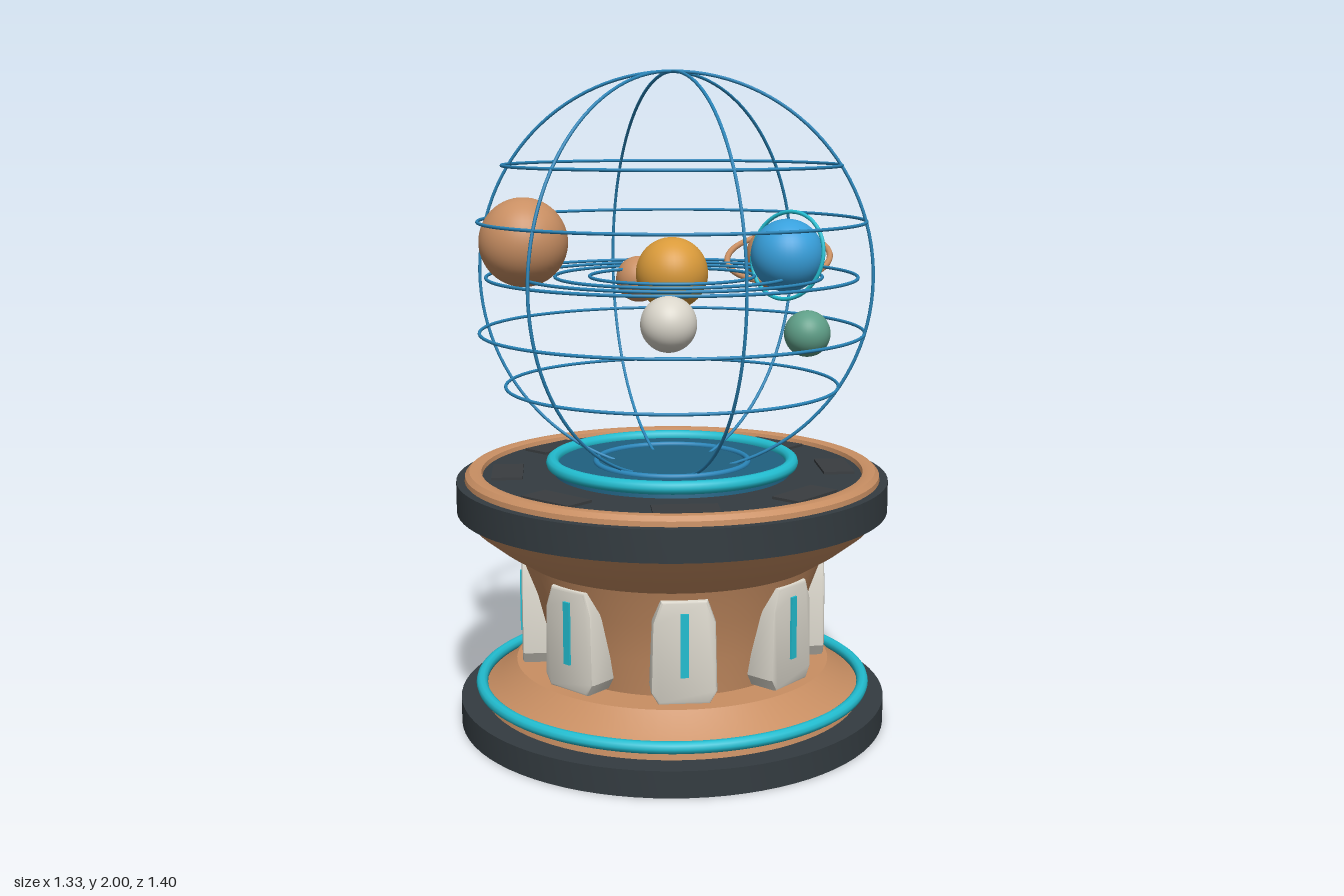
import * as THREE from 'three';
import { toCreasedNormals } from 'three/addons/utils/BufferGeometryUtils.js';

const mat = (name, color) => {
  const m = new THREE.MeshStandardMaterial({ color });
  m.name = name;
  return m;
};

export function createModel() {
  const copper = mat('copper', 0xc98f63);
  const charcoal = mat('charcoal', 0x343c41);
  const hatchGrey = mat('hatch grey', 0x393d40);
  const cyan = mat('cyan', 0x22bdd0);
  const wireBlue = mat('wire blue', 0x2a86ba);
  const deepBlue = mat('deep blue', 0x1f6080);
  const ivory = mat('ivory', 0xd9d5ca);
  const gold = mat('gold', 0xd99a3a);
  const skyBlue = mat('sky blue', 0x38a0dc);
  const green = mat('sea green', 0x5f9f88);

  const model = new THREE.Group();
  model.name = 'orrery';
  const body = new THREE.Group();
  body.name = 'pedestalAndCage';
  body.position.z = 0.034;
  model.add(body);

  const add = (parent, name, geometry, material, x = 0, y = 0, z = 0) => {
    const mesh = new THREE.Mesh(geometry, material);
    mesh.name = name;
    mesh.position.set(x, y, z);
    parent.add(mesh);
    return mesh;
  };
  // Turned part from [radius, height] pairs, listed bottom to top
  const turned = (name, profile, material) => {
    const points = profile.map(([r, y]) => new THREE.Vector2(r, y));
    const geometry = new THREE.LatheGeometry(points, 80);
    return add(body, name, toCreasedNormals(geometry, 0.5), material);
  };
  const flatRing = (name, radius, tube, y, material) => {
    const geometry = new THREE.TorusGeometry(radius, tube, 10, 96).rotateX(Math.PI / 2);
    return add(body, name, geometry, material, 0, y, 0);
  };

  // Pedestal
  turned('baseSlab', [[0, 0], [0.665, 0], [0.665, 0.08], [0, 0.08]], charcoal);
  turned('baseStep', [[0.59, 0.08], [0.585, 0.11], [0.54, 0.14], [0.49, 0.19], [0.3, 0.19]], copper);
  flatRing('baseGlowRing', 0.6, 0.018, 0.122, cyan);
  turned('column', [[0.38, 0.18], [0.4, 0.3], [0.43, 0.42], [0.47, 0.53],
    [0.54, 0.575], [0.61, 0.63], [0.655, 0.68]], copper);
  turned('tableRim', [[0.4, 0.675], [0.665, 0.675], [0.665, 0.77], [0, 0.77]], charcoal);
  turned('tableTrim', [[0.64, 0.765], [0.638, 0.785], [0.625, 0.798], [0.605, 0.8],
    [0.588, 0.795], [0.58, 0.765]], copper);
  turned('tableTop', [[0.585, 0.765], [0.585, 0.782], [0, 0.782]], charcoal);
  turned('projectorDisc', [[0.365, 0.78], [0.36, 0.812], [0, 0.812]], deepBlue);
  flatRing('projectorRing', 0.37, 0.02, 0.815, cyan);
  flatRing('projectorInnerRing', 0.235, 0.009, 0.815, wireBlue);

  // Eight column panels with light slits, and a hatch above each
  const outline = new THREE.Shape([
    [-0.07, 0.205], [0.07, 0.205], [0.088, 0.235], [0.083, 0.44], [0.062, 0.5],
    [-0.062, 0.5], [-0.083, 0.44], [-0.088, 0.235],
  ].map(([x, y]) => new THREE.Vector2(x, y)));
  const panelGeometry = toCreasedNormals(new THREE.ExtrudeGeometry(outline, {
    depth: 0.09, bevelEnabled: true, bevelThickness: 0.01, bevelSize: 0.008, bevelSegments: 2,
  }), 0.5);
  const slitGeometry = new THREE.BoxGeometry(0.024, 0.19, 0.009);
  const hatchGeometry = new THREE.BoxGeometry(0.19, 0.012, 0.095);
  for (let i = 0; i < 8; i++) {
    const bay = new THREE.Group();
    bay.name = 'bay' + (i + 1);
    bay.rotation.y = (i * Math.PI) / 4;
    body.add(bay);
    add(bay, 'panel', panelGeometry, ivory, 0, 0, 0.37);
    add(bay, 'lightSlit', slitGeometry, cyan, 0, 0.375, 0.472);
    add(bay, 'hatch', hatchGeometry, hatchGrey, 0, 0.784, 0.508);
  }

  // Wire globe: three meridians and four parallels
  const globeRadius = 0.608;
  const globeY = 1.388;
  const meridianGeometry = new THREE.TorusGeometry(globeRadius, 0.005, 8, 112);
  for (let i = 0; i < 3; i++) {
    const meridian = add(body, 'meridian' + (i + 1), meridianGeometry, wireBlue, 0, globeY, 0);
    meridian.rotation.y = Math.PI / 2 + (i * Math.PI) / 3;
  }
  for (const h of [-0.333, -0.167, 0.167, 0.333]) {
    flatRing('parallel', Math.sqrt(globeRadius ** 2 - h * h), 0.005, globeY + h, wireBlue);
  }
  // Flat orbit tracks
  for (const r of [0.25, 0.355, 0.455, 0.562]) flatRing('orbit', r, 0.005, globeY, wireBlue);

  // Sun and planets
  const planets = [
    ['sun', 0.11, gold, 0, 1.395, 0.034],
    ['smallCopperPlanet', 0.073, copper, -0.23, 1.355, -0.072],
    ['bluePlanet', 0.109, skyBlue, 0.303, 1.455, -0.142],
    ['greenPlanet', 0.068, green, 0.44, 1.24, -0.06],
    ['largeCopperPlanet', 0.132, copper, -0.26, 1.498, 0.405],
    ['whitePlanet', 0.077, ivory, 0.36, 1.313, 0.466],
    ['ringedCopperPlanet', 0.109, copper, -0.02, 1.405, -0.53],
  ];
  for (const [name, r, material, x, y, z] of planets) {
    add(model, name, new THREE.SphereGeometry(r, 40, 28), material, x, y, z);
  }

  // Tilted planet rings, aimed along their axis
  const tiltedRing = (name, radius, tube, material, position, axis) => {
    const ring = add(model, name, new THREE.TorusGeometry(radius, tube, 10, 72), material, ...position);
    ring.quaternion.setFromUnitVectors(new THREE.Vector3(0, 0, 1), new THREE.Vector3(...axis).normalize());
  };
  tiltedRing('copperPlanetRing', 0.17, 0.01, copper, [-0.02, 1.405, -0.53], [0.2, 1, 0.36]);
  tiltedRing('bluePlanetRing', 0.131, 0.006, cyan, [0.303, 1.455, -0.142], [0, 0.19, 1]);

  return model;
}
